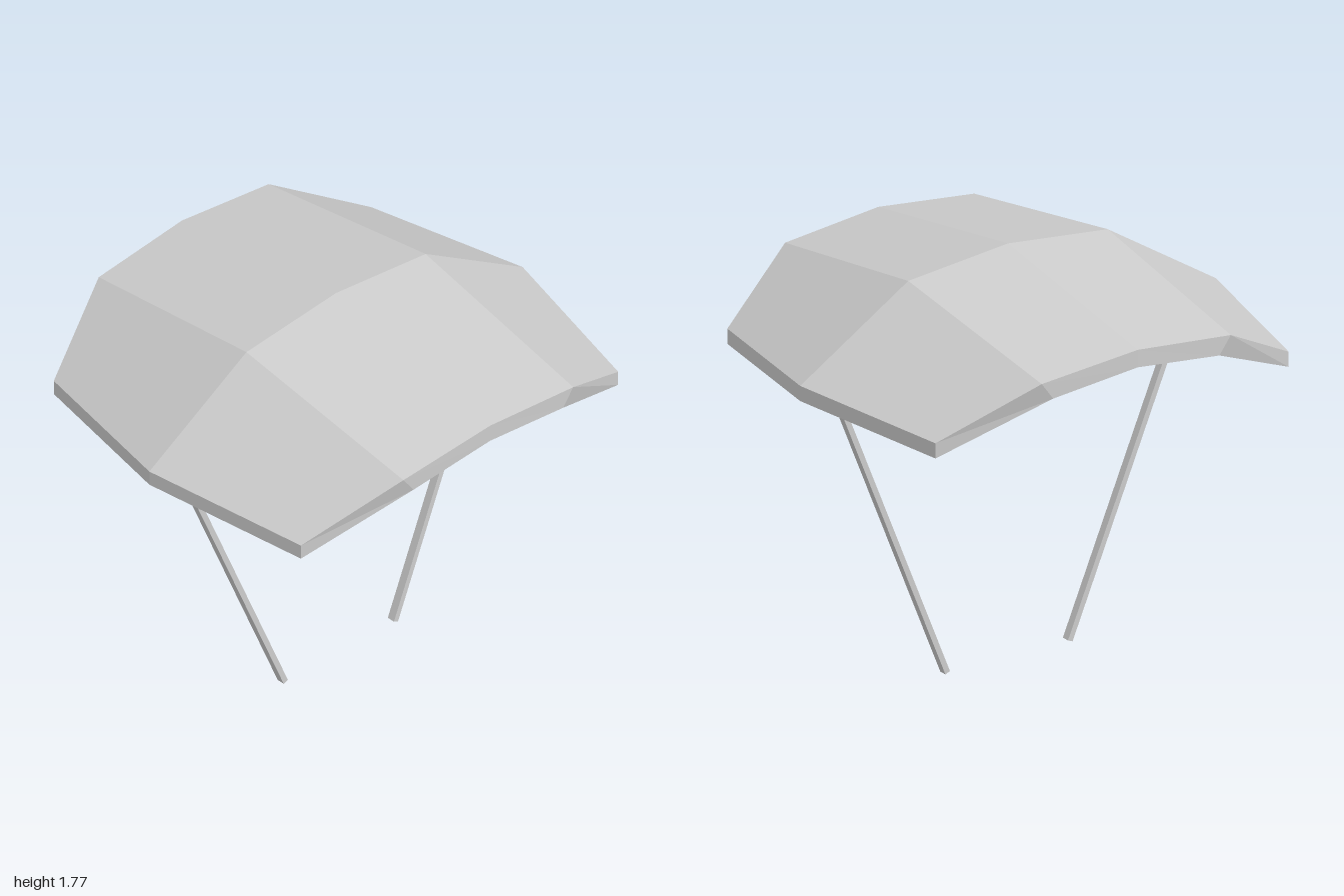
import * as THREE from 'three';

const material = new THREE.MeshStandardMaterial({ color: 0xcccccc, flatShading: true });

// Half a rib running from the centre line to the side: [x, y, z]
const TOP_RIDGE = [[0, 1.775, 0], [0.48, 1.725, 0], [1, 1.395, 0]];
const TOP_EDGE = [[0, 1.625, 0.91], [0.455, 1.58, 0.9], [0.85, 1.36, 0.73]];
const UNDER_RIDGE = [[0, 1.7, 0], [0.43, 1.66, 0], [1, 1.33, 0]];
const UNDER_EDGE = [[0, 1.55, 0.91], [0.4, 1.505, 0.9], [0.85, 1.295, 0.73]];

// Mirror half a rib in x, and optionally flip it to the back
function fullRib(half, zSign = 1) {
  const right = half.map(([x, y, z]) => [x, y, z * zSign]);
  const left = right.slice(1).reverse().map(([x, y, z]) => [-x, y, z]);
  return [...left, ...right];
}

function createCanopy() {
  const top = [fullRib(TOP_EDGE, -1), fullRib(TOP_RIDGE), fullRib(TOP_EDGE)];
  const under = [fullRib(UNDER_EDGE, -1), fullRib(UNDER_RIDGE), fullRib(UNDER_EDGE)];
  const positions = [];
  const quad = (a, b, c, d) => positions.push(...a, ...b, ...c, ...a, ...c, ...d);

  // Upper and lower panels
  for (let j = 0; j < 2; j++) {
    for (let i = 0; i < 4; i++) {
      quad(top[j][i], top[j + 1][i], top[j + 1][i + 1], top[j][i + 1]);
      quad(under[j][i], under[j][i + 1], under[j + 1][i + 1], under[j + 1][i]);
    }
  }

  // Rim around the outline
  const outline = (g) => [
    g[0][0], g[1][0], ...g[2], g[1][4], ...g[0].slice(1).reverse(),
  ];
  const upper = outline(top);
  const lower = outline(under);
  upper.forEach((p, i) => {
    const n = (i + 1) % upper.length;
    quad(p, lower[i], lower[n], upper[n]);
  });

  const geometry = new THREE.BufferGeometry();
  geometry.setAttribute('position', new THREE.Float32BufferAttribute(positions, 3));
  geometry.computeVertexNormals();
  const mesh = new THREE.Mesh(geometry, material);
  mesh.name = 'canopy';
  return mesh;
}

// Slim strut leaning outwards from its foot to the underside of the canopy
function createStrut(side) {
  const foot = new THREE.Vector3(side * 0.295, 0.005, 0.011);
  const head = new THREE.Vector3(side * 0.865, 1.395, -0.004);
  const direction = head.clone().sub(foot);
  const mesh = new THREE.Mesh(new THREE.BoxGeometry(0.024, direction.length(), 0.036), material);
  mesh.position.copy(foot).add(head).multiplyScalar(0.5);
  mesh.quaternion.setFromUnitVectors(new THREE.Vector3(0, 1, 0), direction.normalize());
  mesh.name = side > 0 ? 'leftStrut' : 'rightStrut';
  return mesh;
}

export function createModel() {
  const group = new THREE.Group();
  group.name = 'canopyOnStruts';
  group.add(createCanopy(), createStrut(1), createStrut(-1));
  return group;
}
